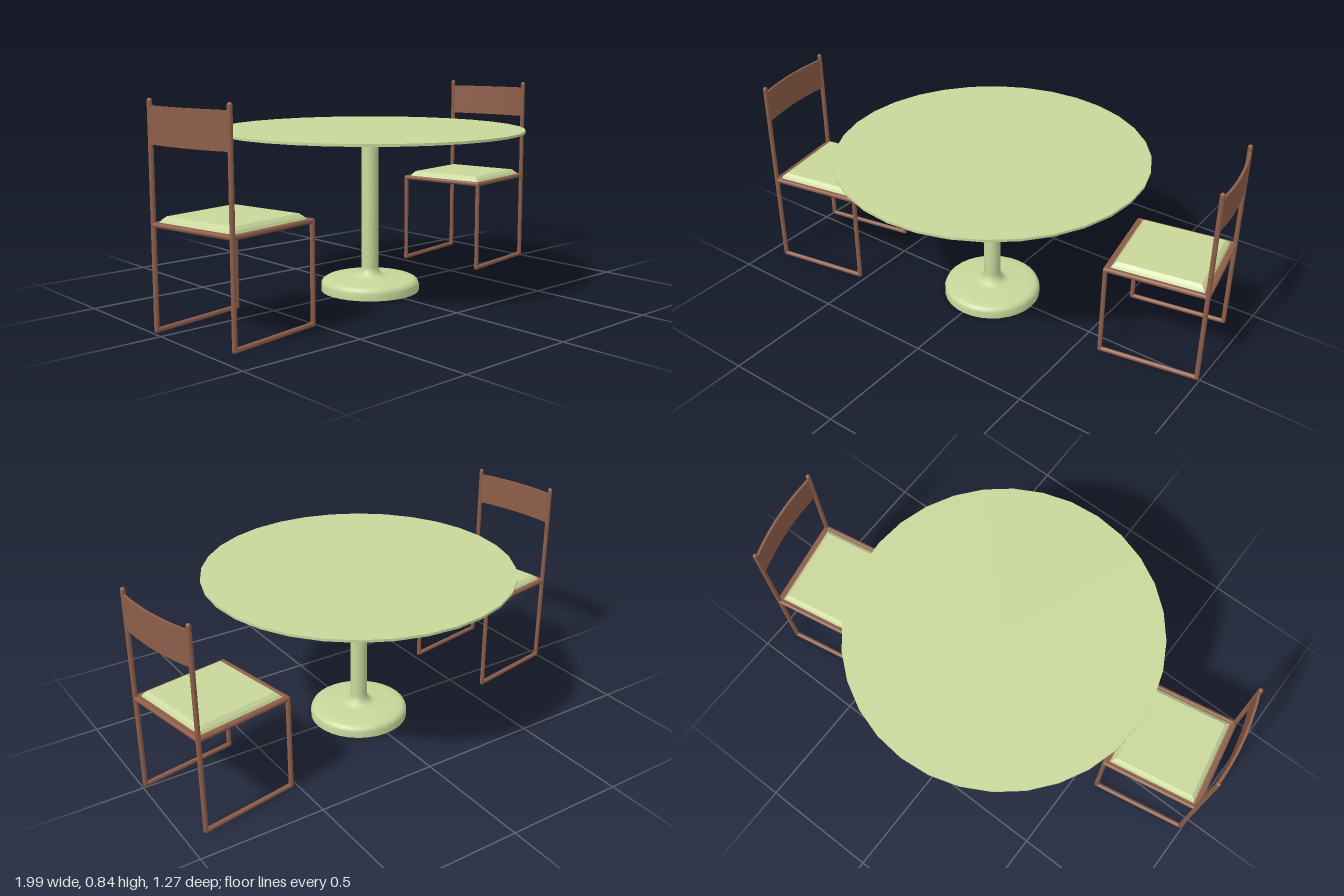
import * as THREE from 'three';

const green = new THREE.MeshStandardMaterial({ color: 0xc8d69a });
const greenShell = new THREE.MeshStandardMaterial({ color: 0xc8d69a, side: THREE.DoubleSide });
const brown = new THREE.MeshStandardMaterial({ color: 0x8e5e49 });

function part(parent, name, geometry, material, x = 0, y = 0, z = 0) {
  const mesh = new THREE.Mesh(geometry, material);
  mesh.name = name;
  mesh.position.set(x, y, z);
  parent.add(mesh);
  return mesh;
}

// Round bar with rounded ends between two points
const R = 0.0095;
function bar(parent, name, a, b) {
  const from = new THREE.Vector3(...a), to = new THREE.Vector3(...b);
  const dir = to.clone().sub(from);
  const mesh = part(parent, name, new THREE.CapsuleGeometry(R, dir.length(), 4, 10), brown);
  mesh.position.copy(from).add(to).multiplyScalar(0.5);
  mesh.quaternion.setFromUnitVectors(new THREE.Vector3(0, 1, 0), dir.normalize());
}

// Chair with its back towards local +x
function createChair(name) {
  const chair = new THREE.Group();
  chair.name = name;
  const hx = 0.2, hz = 0.196, low = 0.0105, seatY = 0.395;

  // Side frames: sled foot, front leg, tall back post and seat rail
  for (const z of [-hz, hz]) {
    bar(chair, 'sledFoot', [-hx, low, z], [hx, low, z]);
    bar(chair, 'frontLeg', [-hx, low, z], [-hx, seatY, z]);
    bar(chair, 'backPost', [hx, low, z], [hx, 0.832, z]);
    bar(chair, 'sideRail', [-hx, seatY, z], [hx, seatY, z]);
  }
  for (const x of [-hx, hx]) bar(chair, 'crossRail', [x, seatY, -hz], [x, seatY, hz]);

  // Seat board and cushion with sloping edges
  part(chair, 'seatBoard', new THREE.BoxGeometry(2 * hx, 0.014, 2 * hz), brown, 0, seatY, 0);
  const cushion = new THREE.BoxGeometry(0.37, 0.024, 0.37, 1, 2, 1);
  const p = cushion.attributes.position;
  for (let i = 0; i < p.count; i++) {
    const s = p.getY(i) > 0.005 ? 0.89 : p.getY(i) > -0.005 ? 0.96 : 1;
    p.setX(i, p.getX(i) * s);
    p.setZ(i, p.getZ(i) * s);
  }
  const flat = cushion.toNonIndexed();
  flat.computeVertexNormals();
  part(chair, 'cushion', flat, green, 0, 0.412, 0);

  // Backrest panel bowed outwards between the posts
  const t = 0.005, bow = 0.036;
  const plan = new THREE.Shape();
  plan.moveTo(hx - t, -hz);
  plan.lineTo(hx + t, -hz);
  plan.quadraticCurveTo(hx + t + bow, 0, hx + t, hz);
  plan.lineTo(hx - t, hz);
  plan.quadraticCurveTo(hx - t + bow, 0, hx - t, -hz);
  const back = new THREE.ExtrudeGeometry(plan, { depth: 0.135, bevelEnabled: false, curveSegments: 12 });
  back.rotateX(-Math.PI / 2);
  part(chair, 'backrest', back, brown, 0, 0.68, 0);
  return chair;
}

export function createModel() {
  const model = new THREE.Group();
  model.name = 'diningSet';

  // Table: thin round top over a hollow pedestal open at the bottom
  const table = new THREE.Group();
  table.name = 'table';
  table.position.x = 0.005;
  part(table, 'tableTop', new THREE.CylinderGeometry(0.635, 0.635, 0.01, 32), green, 0, 0.675, 0);
  const profile = [
    [0.206, 0], [0.206, 0.028], [0.2, 0.042], [0.186, 0.05], [0.15, 0.054], [0.075, 0.057],
    [0.055, 0.063], [0.042, 0.077], [0.035, 0.1], [0.035, 0.663], [0, 0.663],
  ].map(([x, y]) => new THREE.Vector2(x, y));
  part(table, 'pedestal', new THREE.LatheGeometry(profile, 32), greenShell);
  model.add(table);

  // Two chairs facing each other, turned a little
  const turn = THREE.MathUtils.degToRad(10);
  const left = createChair('leftChair');
  left.position.set(0.757, 0, -0.153);
  left.rotation.y = turn;
  const right = createChair('rightChair');
  right.position.set(-0.757, 0, 0.113);
  right.rotation.y = Math.PI + turn;
  model.add(left, right);
  return model;
}
